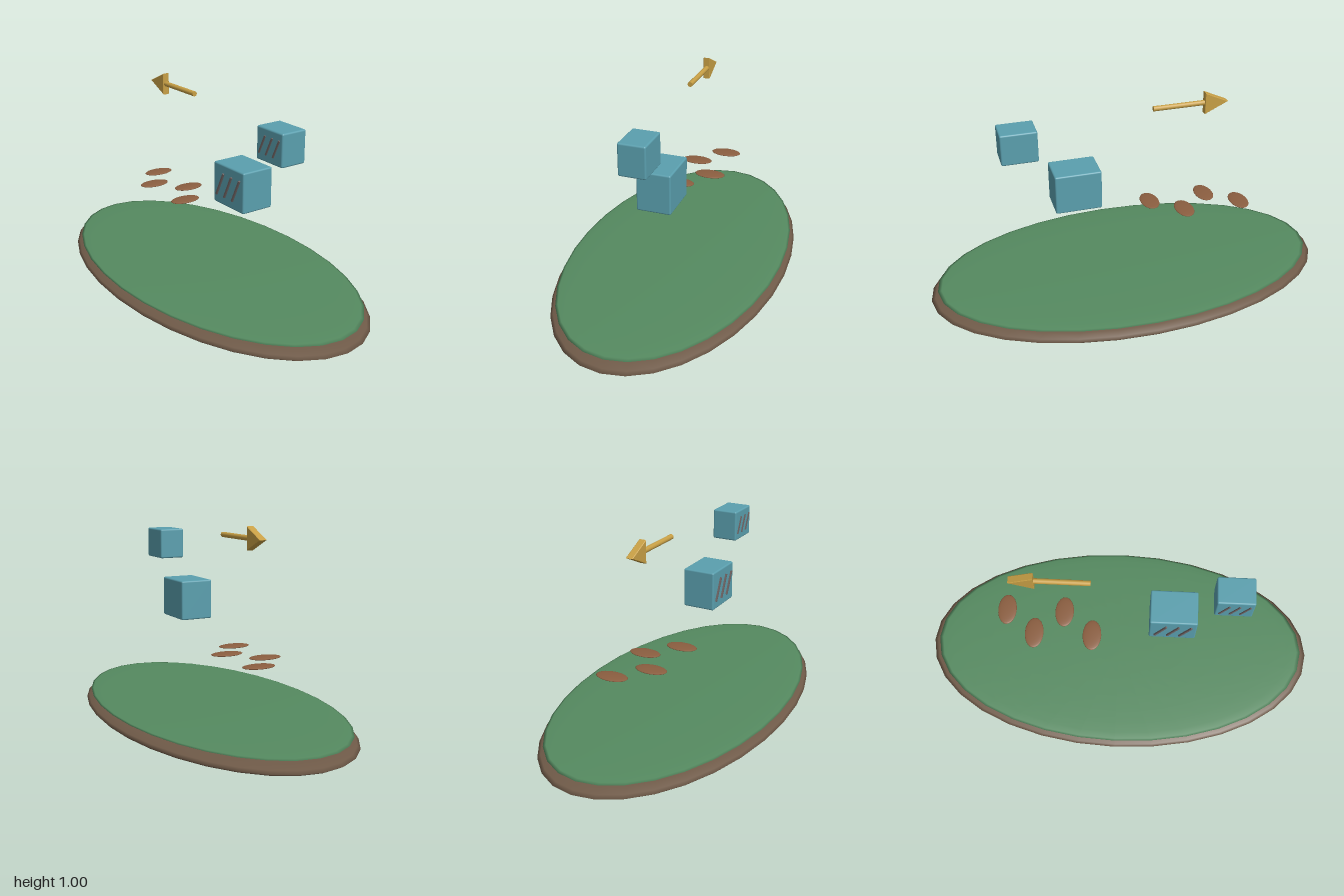
import * as THREE from 'three';
import { RoundedBoxGeometry } from 'three/addons/geometries/RoundedBoxGeometry.js';

const paint = (color) => new THREE.MeshStandardMaterial({ color });
const soil = paint(0x6f5a48);
const grass = paint(0x558a60);
const clay = paint(0x8b5e40);
const gold = paint(0xc79f45);
const blue = paint(0x5a9fae);
const ink = paint(0x6e6464);

function add(parent, name, geometry, material, x = 0, y = 0, z = 0) {
  const mesh = new THREE.Mesh(geometry, material);
  mesh.name = name;
  mesh.position.set(x, y, z);
  parent.add(mesh);
  return mesh;
}

// Squashed sphere given by its three half sizes
function ellipsoid(rx, ry, rz, sides = 32, rings = 16) {
  return new THREE.SphereGeometry(1, sides, rings).scale(rx, ry, rz);
}

// Rounded block with three slanted strokes on its front face
function markedBlock(name, x, y, [w, h, d], stroke) {
  const block = new THREE.Group();
  block.name = name;
  block.position.set(x, y, 0);
  add(block, 'blockBody', new RoundedBoxGeometry(w, h, d, 3, 0.008), blue);
  for (const i of [-1, 0, 1]) {
    const bar = add(block, 'stroke', new THREE.BoxGeometry(stroke.width, stroke.length, stroke.out * 2),
      ink, i * stroke.gap, 0, d / 2);
    bar.rotation.z = -0.44;
  }
  return block;
}

// Arrow pointing to -x: round shaft and flat triangular head
function makeArrow() {
  const arrow = new THREE.Group();
  arrow.name = 'arrow';
  arrow.position.set(0, 0.95, 0);
  const shaft = new THREE.CylinderGeometry(0.0125, 0.0125, 0.26, 16).rotateZ(Math.PI / 2);
  add(arrow, 'arrowShaft', shaft, gold, -0.258);
  const outline = new THREE.Shape([
    new THREE.Vector2(-0.495, 0),
    new THREE.Vector2(-0.385, -0.051),
    new THREE.Vector2(-0.385, 0.051),
  ]);
  const head = new THREE.ExtrudeGeometry(outline, {
    depth: 0.029, bevelThickness: 0.003, bevelSize: 0.003, bevelSegments: 1,
  }).translate(0, 0, -0.0145);
  add(arrow, 'arrowHead', head, gold);
  return arrow;
}

export function createModel() {
  const model = new THREE.Group();
  model.name = 'floatingBlocksIsland';

  // Oval ground: soil disc with a thin grass layer on top
  add(model, 'soilBase', ellipsoid(1, 0.058, 0.545), soil, 0, 0.058);
  add(model, 'grassTop', ellipsoid(0.965, 0.017, 0.523), grass, 0, 0.105);

  // Trail of alternating footprints
  for (let i = 0; i < 4; i++) {
    add(model, 'footprint', ellipsoid(0.047, 0.0075, 0.079, 24, 12), clay,
      -0.57 + i * 0.145, 0.41, i % 2 ? 0.058 : -0.06);
  }

  model.add(makeArrow());

  // Large and small marked blocks
  model.add(markedBlock('largeBlock', 0.26, 0.6, [0.226, 0.198, 0.167],
    { width: 0.009, length: 0.125, out: 0.008, gap: 0.06 }));
  model.add(markedBlock('smallBlock', 0.524, 0.863, [0.174, 0.153, 0.13],
    { width: 0.008, length: 0.094, out: 0.005, gap: 0.047 }));

  return model;
}
